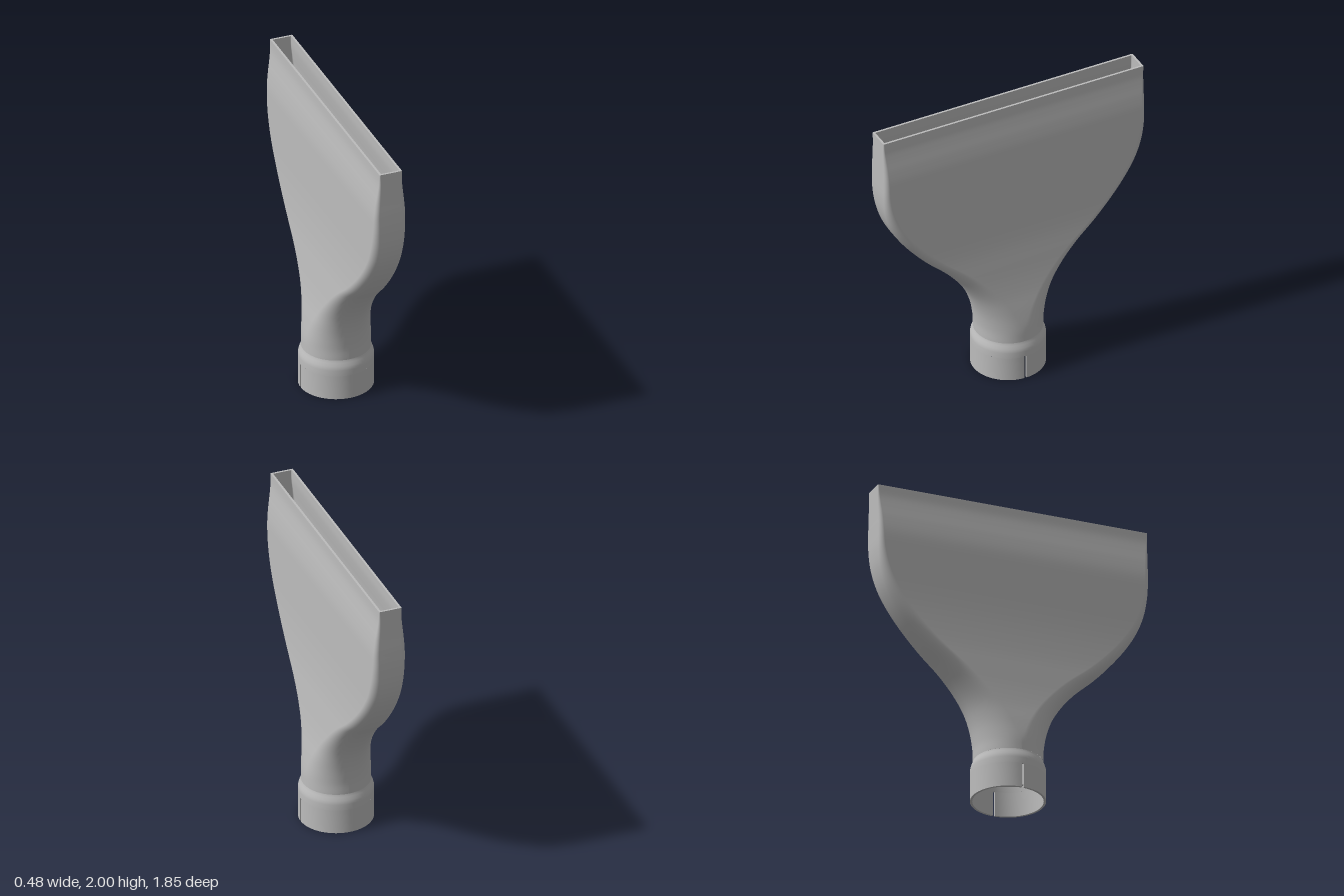
import * as THREE from 'three';
import { toCreasedNormals } from 'three/addons/utils/BufferGeometryUtils.js';

const WALL = 0.014;
const SLOT_TOP = 0.165, SLOT_HALF = 0.0075;
const R_OUT = 0.24, R_IN = 0.225;

// Body sections: height, half width x, half width z, corner radius
const SECTIONS = [
  [0.27, 0.221, 0.221, 0.219],
  [0.36, 0.216, 0.225, 0.213],
  [0.48, 0.196, 0.246, 0.188],
  [0.60, 0.173, 0.290, 0.160],
  [0.72, 0.155, 0.366, 0.138],
  [0.84, 0.141, 0.470, 0.120],
  [0.96, 0.128, 0.600, 0.104],
  [1.08, 0.119, 0.710, 0.090],
  [1.20, 0.113, 0.800, 0.077],
  [1.32, 0.110, 0.866, 0.063],
  [1.44, 0.109, 0.904, 0.049],
  [1.56, 0.108, 0.920, 0.036],
  [1.68, 0.106, 0.923, 0.030],
  [1.78, 0.097, 0.923, 0.025],
  [1.86, 0.086, 0.923, 0.018],
  [1.93, 0.078, 0.923, 0.011],
  [2.00, 0.076, 0.923, 0.006],
];
const CORNER_STEPS = 12;

// Rounded rectangle, running from +z towards +x
function ring(y, a, b, r) {
  const pts = [];
  [[1, 1], [1, -1], [-1, -1], [-1, 1]].forEach(([sx, sz], q) => {
    for (let k = 0; k <= CORNER_STEPS; k++) {
      const phi = (q + k / CORNER_STEPS) * Math.PI / 2;
      pts.push([sx * (a - r) + r * Math.sin(phi), y, sz * (b - r) + r * Math.cos(phi)]);
    }
  });
  return pts;
}

// Skin over a list of equal-length rings; faces outward when rings go up
function loft(rings, flip = false) {
  const n = rings[0].length, index = [];
  for (let i = 0; i < rings.length - 1; i++) {
    for (let j = 0; j < n; j++) {
      const a = i * n + j, b = i * n + (j + 1) % n, c = a + n, d = b + n;
      if (flip) index.push(a, d, b, a, c, d);
      else index.push(a, b, d, a, d, c);
    }
  }
  const g = new THREE.BufferGeometry();
  g.setAttribute('position', new THREE.Float32BufferAttribute(rings.flat(2), 3));
  g.setIndex(index);
  g.computeVertexNormals();
  return g;
}

function lathe(points, segments, start = 0, length = Math.PI * 2) {
  const profile = points.map(([x, y]) => new THREE.Vector2(x, y));
  return toCreasedNormals(new THREE.LatheGeometry(profile, segments, start, length), 0.75);
}

export function createModel() {
  const model = new THREE.Group();
  model.name = 'flatNozzle';
  const grey = new THREE.MeshStandardMaterial({ color: 0xbcbcbc });
  grey.name = 'grey plastic';
  const add = (name, geometry) => {
    const mesh = new THREE.Mesh(geometry, grey);
    mesh.name = name;
    model.add(mesh);
    return mesh;
  };

  // Flared body: round neck blending into a wide flat mouth
  const sizes = new THREE.CatmullRomCurve3(
    SECTIONS.map(([y, a, b]) => new THREE.Vector3(a, y, b)), false, 'catmullrom', 0.5);
  const radii = new THREE.SplineCurve(SECTIONS.map(([y, , , r]) => new THREE.Vector2(r, y)));
  const outer = [], inner = [], steps = 80;
  for (let i = 0; i <= steps; i++) {
    const { x: a, y, z: b } = sizes.getPoint(i / steps);
    const r = Math.min(radii.getPoint(i / steps).x, a * 0.99);
    outer.push(ring(y, a, b, r));
    inner.push(ring(y, a - WALL, b - WALL, Math.max(r - WALL, 0.004)));
  }
  add('bodyOutside', loft(outer));
  add('bodyInside', loft(inner, true));
  add('mouthRim', loft([outer[steps], inner[steps]]));

  // Collar top with rounded shoulder outside and a stop ledge inside
  add('collarShoulder', lathe([
    [R_IN, SLOT_TOP], [R_OUT, SLOT_TOP], [R_OUT, 0.205], [0.2385, 0.218], [0.235, 0.232],
    [0.227, 0.252], [0.223, 0.262], [0.221, 0.27],
  ], 64));
  add('collarLedge', lathe([
    [0.207, 0.27], [0.207, 0.205], [R_IN, 0.205], [R_IN, SLOT_TOP],
  ], 64));

  // Collar skirt in two halves, leaving a slot on each side
  const gap = Math.asin(SLOT_HALF / R_OUT);
  for (const side of [1, -1]) {
    add('collarHalf', lathe([
      [R_IN, SLOT_TOP], [R_IN, 0], [R_OUT, 0], [R_OUT, SLOT_TOP],
    ], 32, side * Math.PI / 2 + gap, Math.PI - 2 * gap));
    // Slot walls
    for (const face of [1, -1]) {
      const wall = add('slotWall', new THREE.PlaneGeometry(R_OUT - R_IN, SLOT_TOP));
      wall.position.set(side * (R_OUT + R_IN) / 2, SLOT_TOP / 2, -face * SLOT_HALF);
      if (face < 0) wall.rotation.y = Math.PI;
    }
  }
  return model;
}
